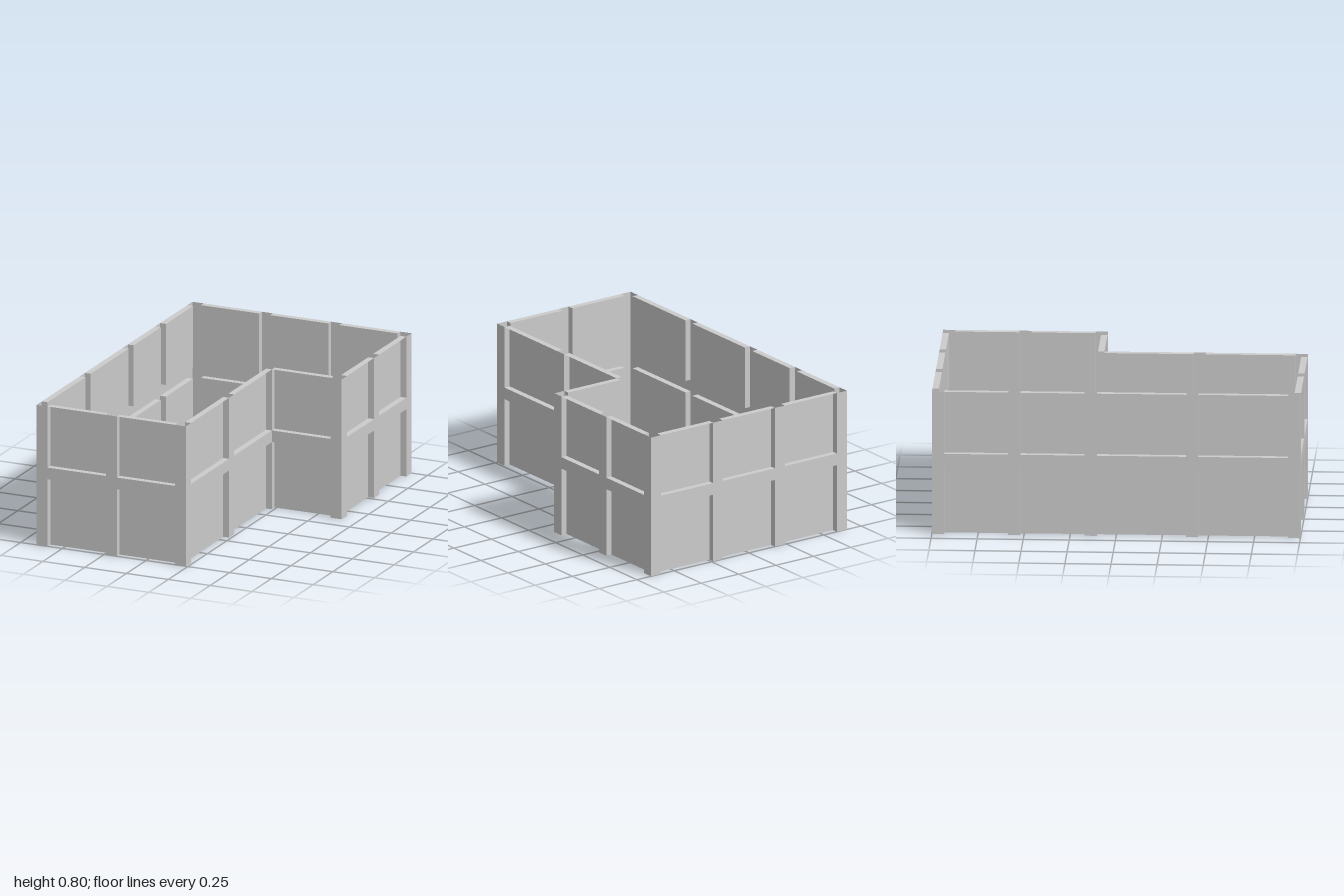
import * as THREE from 'three';

const H = 0.797, DEPTH = 0.035;       // wall height, recess of the panels
const BAND = [0.383, 0.449];          // horizontal rail between the storeys
const material = new THREE.MeshStandardMaterial({ color: 0xcccccc, side: THREE.DoubleSide, flatShading: true });

// Thin sheets in a wall's own frame: x along the wall, y up, +z outward
function sheet(parent, name, w, h, x, y, z, rx = 0, ry = 0) {
  const mesh = new THREE.Mesh(new THREE.PlaneGeometry(w, h), material);
  mesh.name = name;
  mesh.position.set(x, y, z);
  mesh.rotation.set(rx, ry, 0);
  parent.add(mesh);
}

// Recessed panel with its side reveals, lintel and (upper storey) sill
function bay(parent, a, b, y0, y1, hasSill) {
  const g = new THREE.Group();
  g.name = hasSill ? 'upperBay' : 'lowerBay';
  const w = b - a, h = y1 - y0, x = (a + b) / 2, y = (y0 + y1) / 2;
  sheet(g, 'panel', w, h, x, y, -DEPTH);
  sheet(g, 'leftReveal', DEPTH, h, a, y, -DEPTH / 2, 0, Math.PI / 2);
  sheet(g, 'rightReveal', DEPTH, h, b, y, -DEPTH / 2, 0, -Math.PI / 2);
  sheet(g, 'lintel', w, DEPTH, x, y1, -DEPTH / 2, Math.PI / 2);
  if (hasSill) sheet(g, 'sill', w, DEPTH, x, y0, -DEPTH / 2, -Math.PI / 2);
  parent.add(g);
}

// Wall starting at (x, z), running to the right as seen from outside
function wall(name, x, z, angle, length, openings) {
  const g = new THREE.Group();
  g.name = name;
  g.position.set(x, 0, z);
  g.rotation.y = angle;
  let end = 0;
  const post = (a, b) => {
    if (b - a > 0.001) sheet(g, 'post', b - a, H, (a + b) / 2, H / 2, 0);
  };
  for (const [a, b] of openings) {
    post(end, a);
    sheet(g, 'rail', b - a, BAND[1] - BAND[0], (a + b) / 2, (BAND[0] + BAND[1]) / 2, 0);
    bay(g, a, b, 0, BAND[0], false);
    bay(g, a, b, BAND[1], H, true);
    end = b;
  }
  post(end, length);
  return g;
}

export function createModel() {
  const model = new THREE.Group();
  model.name = 'buildingWalls';
  const X = 0.655, W = 0.238, Z = -0.105, Q = Math.PI / 2;
  model.add(
    wall('frontWall', -X, 1, 0, X + W, [[0.067, 0.415], [0.481, 0.828]]),
    wall('wingSideWall', W, 1, Q, 1 - Z, [[0.067, 0.555], [0.62, 1 - Z]]),
    wall('innerFrontWall', W, Z, 0, X - W, [[0, 0.349]]),
    wall('leftWall', X, Z, Q, 1 + Z, [[0.067, 0.414], [0.481, 0.828]]),
    wall('backWall', X, -1, 2 * Q, 2 * X, [[0.067, 0.416], [0.481, 0.829], [0.895, 1.243]]),
    wall('rightWall', -X, -1, -Q, 2, [[0.067, 0.414], [0.481, 0.828], [0.895, 1.38], [1.445, 1.933]]),
  );
  return model;
}
